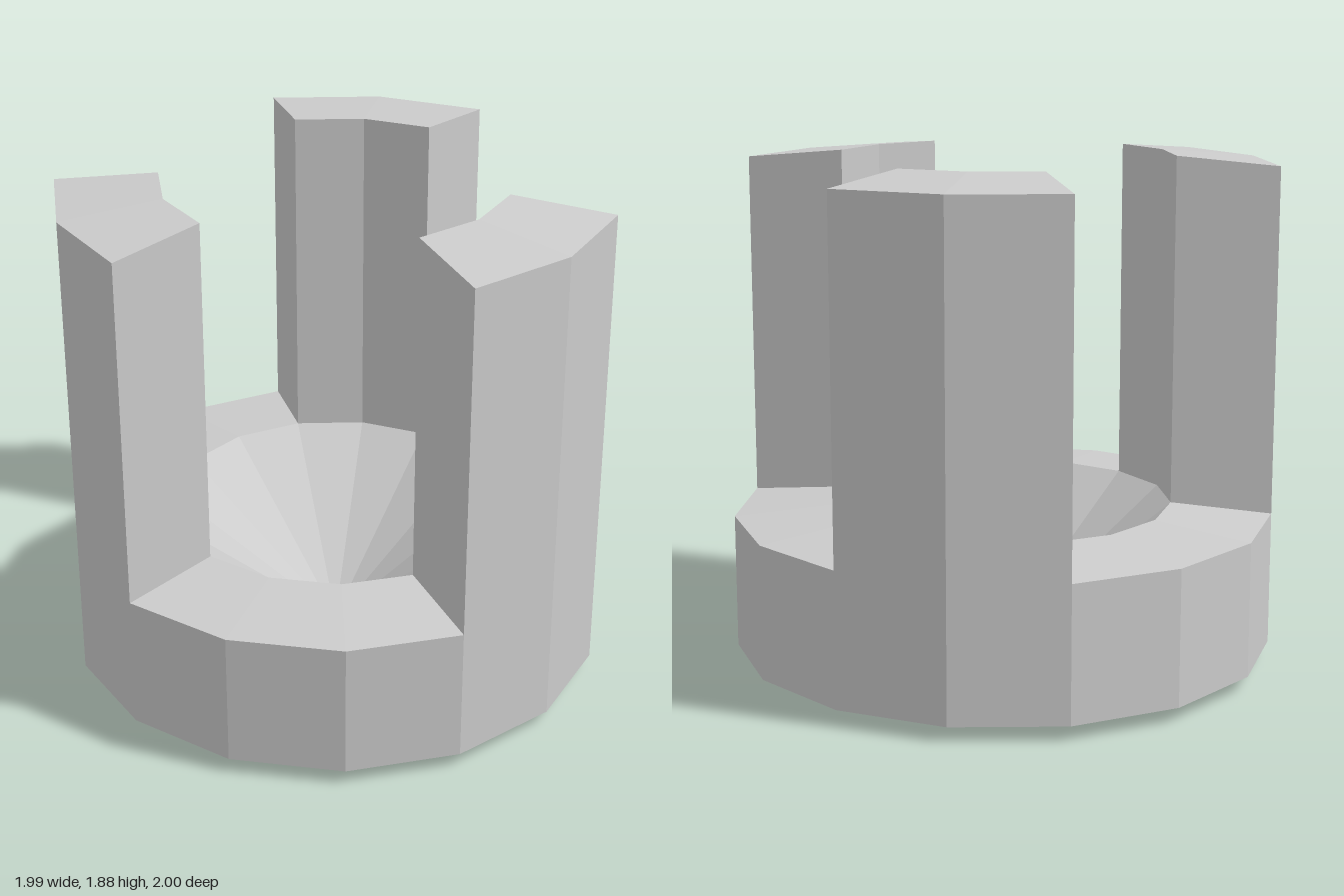
import * as THREE from 'three';

const SIDES = 15;
const STEP = (Math.PI * 2) / SIDES;
const OUTER = 1.0055, INNER = 0.63;   // ring radii
const LEDGE_OUT = 0.555, LEDGE_IN = 0.59;  // base ledge heights
const TOP_OUT = 1.85, TOP_IN = 1.885;     // prong top heights

const material = new THREE.MeshStandardMaterial({ color: 0xcccccc, flatShading: true });
const capMaterial = new THREE.MeshStandardMaterial({ color: 0xcccccc, flatShading: true, side: THREE.DoubleSide });

// Sweeps a profile over some of the 15 sides, starting from the +x corner
function sweep(name, profile, firstSide = 0, sides = SIDES) {
  const points = profile.map(([r, y]) => new THREE.Vector2(r, y));
  const lathe = new THREE.LatheGeometry(points, sides, Math.PI / 2 + firstSide * STEP, sides * STEP);
  const geometry = lathe.toNonIndexed();
  geometry.computeVertexNormals();
  const mesh = new THREE.Mesh(geometry, material);
  mesh.name = name;
  return mesh;
}

// Upright prong, two sides wide, with flat radial cheeks
function makeProng(firstSide) {
  const prong = new THREE.Group();
  prong.name = 'prong';
  const profile = [[OUTER, LEDGE_OUT], [OUTER, TOP_OUT], [INNER, TOP_IN], [INNER, LEDGE_IN]];
  prong.add(sweep('prongWall', profile, firstSide, 2));
  const section = new THREE.Shape(profile.map(([r, y]) => new THREE.Vector2(r, y)));
  for (const side of [firstSide, firstSide + 2]) {
    const cheek = new THREE.Mesh(new THREE.ShapeGeometry(section), capMaterial);
    cheek.name = 'prongCheek';
    cheek.rotation.y = side * STEP;
    prong.add(cheek);
  }
  return prong;
}

export function createModel() {
  const model = new THREE.Group();
  model.name = 'prongedCup';

  // Base: shallow domed underside and faceted outer wall
  model.add(sweep('base', [
    [0, 0], [0.25, 0.003], [0.5, 0.014], [0.75, 0.031], [OUTER, 0.055], [OUTER, LEDGE_OUT],
  ]));

  // Conical bowl sunk into the base
  model.add(sweep('bowl', [[INNER, LEDGE_IN], [0, 0.055]]));

  // Three prongs alternating with sloped ledges
  for (let i = 0; i < 3; i++) {
    const first = 1 + i * 5;
    model.add(makeProng(first));
    model.add(sweep('ledge', [[OUTER, LEDGE_OUT], [INNER, LEDGE_IN]], first + 2, 3));
  }

  // Centre the odd-sided outline
  model.children.forEach((part) => { part.position.x = -0.011; });
  return model;
}
